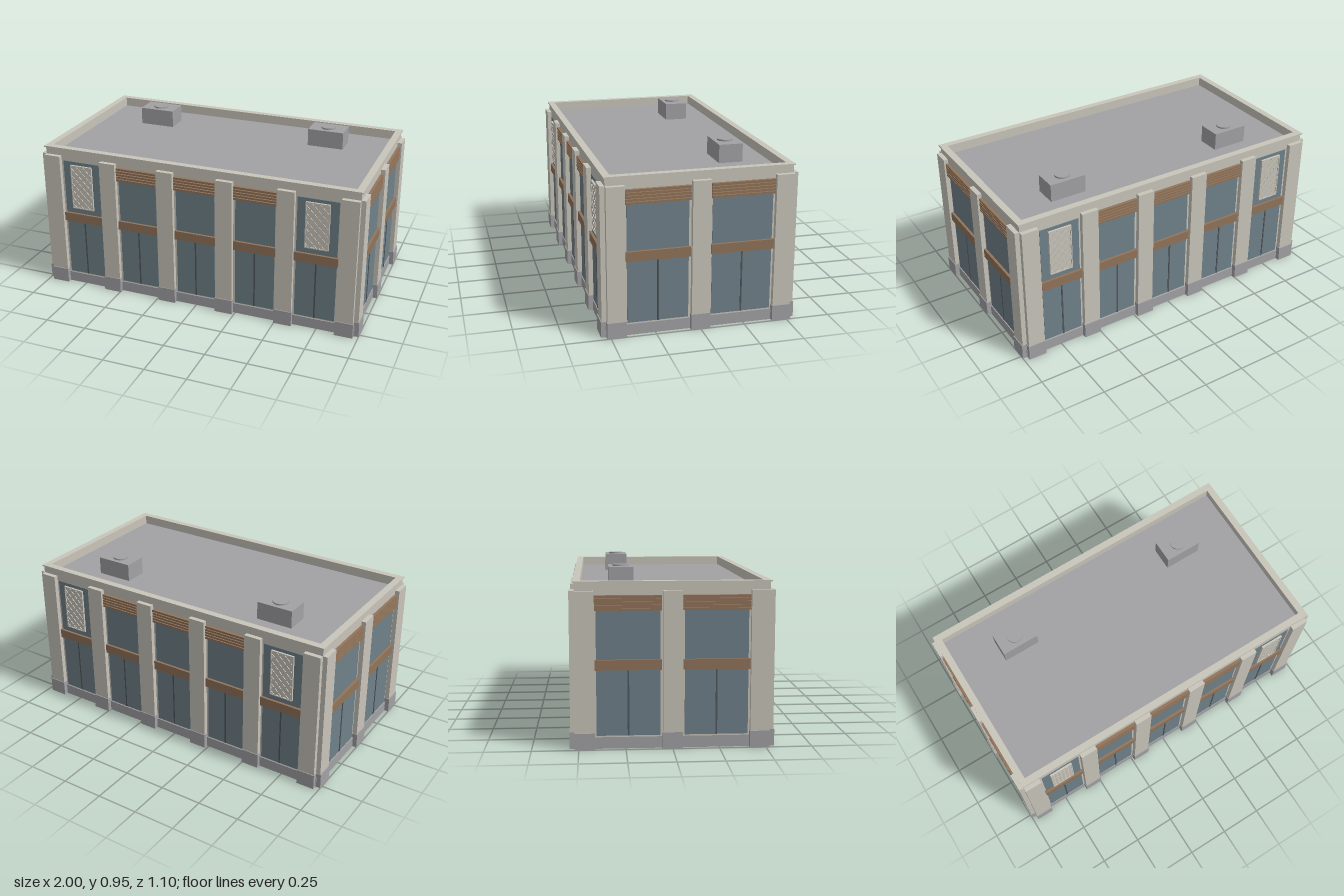
import * as THREE from 'three';

const mat = (name, color) => {
  const m = new THREE.MeshStandardMaterial({ color });
  m.name = name;
  return m;
};

export function createModel() {
  const stone = mat('pale stone', 0xc9c5bb);
  const grey = mat('grey concrete', 0xa2a2a5);
  const wood = mat('brown wood', 0x92745a);
  const glass = mat('blue grey glass', 0x70818a);
  const dark = mat('dark metal', 0x50575b);

  const HX = 0.968, HZ = 0.518; // wall faces
  const model = new THREE.Group();
  model.name = 'building';

  // Box given by its limits on each axis
  function box(parent, name, material, x0, x1, y0, y1, z0, z1) {
    const mesh = new THREE.Mesh(new THREE.BoxGeometry(x1 - x0, y1 - y0, z1 - z0), material);
    mesh.position.set((x0 + x1) / 2, (y0 + y1) / 2, (z0 + z1) / 2);
    mesh.name = name;
    parent.add(mesh);
    return mesh;
  }

  // Rectangular ring lying flat around the roof
  function ring(name, hx, hz, y0, y1) {
    const rect = (S, a, b) => new S([[-a, -b], [a, -b], [a, b], [-a, b]].map(p => new THREE.Vector2(...p)));
    const shape = rect(THREE.Shape, hx, hz);
    shape.holes.push(rect(THREE.Path, 0.935, 0.485));
    const geo = new THREE.ExtrudeGeometry(shape, { depth: y1 - y0, bevelEnabled: false });
    geo.rotateX(-Math.PI / 2);
    const mesh = new THREE.Mesh(geo, stone);
    mesh.position.y = y0;
    mesh.name = name;
    model.add(mesh);
  }

  // Main volume, parapet and roof
  box(model, 'baseCourse', grey, -HX - 0.006, HX + 0.006, 0, 0.063, -HZ - 0.006, HZ + 0.006);
  box(model, 'walls', stone, -HX, HX, 0.063, 0.82, -HZ, HZ);
  ring('parapet', HX, HZ, 0.82, 0.887);
  ring('cornice', HX + 0.008, HZ + 0.008, 0.887, 0.895);
  box(model, 'roofDeck', grey, -0.935, 0.935, 0.82, 0.84, -0.485, 0.485);

  // Rooftop units with round fan caps
  for (const s of [-1, 1]) {
    const unit = new THREE.Group();
    unit.name = 'rooftopUnit';
    unit.position.set(s * 0.565, 0, -0.262);
    box(unit, 'unitHousing', grey, -0.11, 0.11, 0.84, 0.945, -0.069, 0.069);
    const fan = new THREE.Mesh(new THREE.CylinderGeometry(0.045, 0.045, 0.009, 24), grey);
    fan.position.y = 0.9495;
    fan.name = 'fanCap';
    unit.add(fan);
    model.add(unit);
  }

  // Screen of crossed diagonal bars in a frame
  function lattice(parent, cx) {
    const g = new THREE.Group();
    g.name = 'latticeScreen';
    g.position.set(cx, 0.655, 0);
    const w = 0.07, h = 0.14;
    box(g, 'screenPanel', stone, -w, w, -h, h, 0.003, 0.007);
    for (const s of [-1, 1]) {
      box(g, 'screenSide', stone, s * (w - 0.003) - 0.003, s * (w - 0.003) + 0.003, -h, h, 0.003, 0.015);
      box(g, 'screenRail', stone, -w + 0.006, w - 0.006, s * (h - 0.003) - 0.003, s * (h - 0.003) + 0.003, 0.003, 0.015);
      // Each bar is clipped to the frame
      for (let k = -4; k <= 4; k++) {
        const c = k * 0.0467;
        const a = Math.max(-w, -h - c), b = Math.min(w, h - c);
        if (b - a < 0.01) continue;
        const len = (b - a) * Math.SQRT2 - 0.01;
        const bar = new THREE.Mesh(new THREE.BoxGeometry(len, 0.009, 0.007), stone);
        const mid = (a + b) / 2;
        bar.position.set(s * mid, mid + c, s > 0 ? 0.0095 : 0.0085);
        bar.rotation.z = s * Math.PI / 4;
        bar.name = 'screenBar';
        g.add(bar);
      }
    }
    parent.add(g);
  }

  // One glazed bay; z = 0 is the wall face
  function bay(parent, cx, halfGlass, screened) {
    const g = new THREE.Group();
    g.name = 'windowBay';
    const hw = halfGlass + 0.008;
    box(g, 'glazing', glass, cx - halfGlass, cx + halfGlass, 0.07, 0.815, -0.003, 0.003);
    box(g, 'doorMullion', dark, cx - 0.0045, cx + 0.0045, 0.07, 0.425, 0, 0.006);
    box(g, 'spandrel', wood, cx - hw, cx + hw, 0.425, 0.48, 0, 0.018);
    if (screened) {
      lattice(g, cx);
    } else {
      // Slatted sunshade
      box(g, 'louverBack', wood, cx - hw, cx + hw, 0.741, 0.821, 0, 0.007);
      for (let i = 0; i < 5; i++) {
        const y = 0.741 + i * 0.017;
        box(g, 'louverSlat', wood, cx - hw, cx + hw, y, y + 0.012, 0.006, 0.018);
      }
    }
    parent.add(g);
  }

  // Pilaster with a grey plinth
  function pilaster(parent, cx) {
    box(parent, 'pilaster', stone, cx - 0.051, cx + 0.051, 0.09, 0.845, -0.004, 0.027);
    box(parent, 'pilasterPlinth', grey, cx - 0.054, cx + 0.054, 0, 0.09, -0.004, 0.032);
  }

  // Four facades: long ones front and back, short ones at the sides
  for (let i = 0; i < 4; i++) {
    const facade = new THREE.Group();
    const wall = new THREE.Group();
    facade.name = ['frontFacade', 'leftFacade', 'backFacade', 'rightFacade'][i];
    wall.name = 'facadeParts';
    facade.rotation.y = i * Math.PI / 2;
    if (i % 2 === 0) {
      wall.position.z = HZ;
      for (const x of [0.917, 0.551, 0.184]) for (const s of [-1, 1]) pilaster(wall, s * x);
      for (const x of [-0.733, -0.368, 0, 0.368, 0.733]) bay(wall, x, 0.12, Math.abs(x) > 0.5);
    } else {
      wall.position.z = HX;
      for (const x of [-0.467, 0, 0.467]) pilaster(wall, x);
      for (const x of [-0.235, 0.235]) bay(wall, x, 0.17, false);
    }
    facade.add(wall);
    model.add(facade);
  }
  return model;
}
